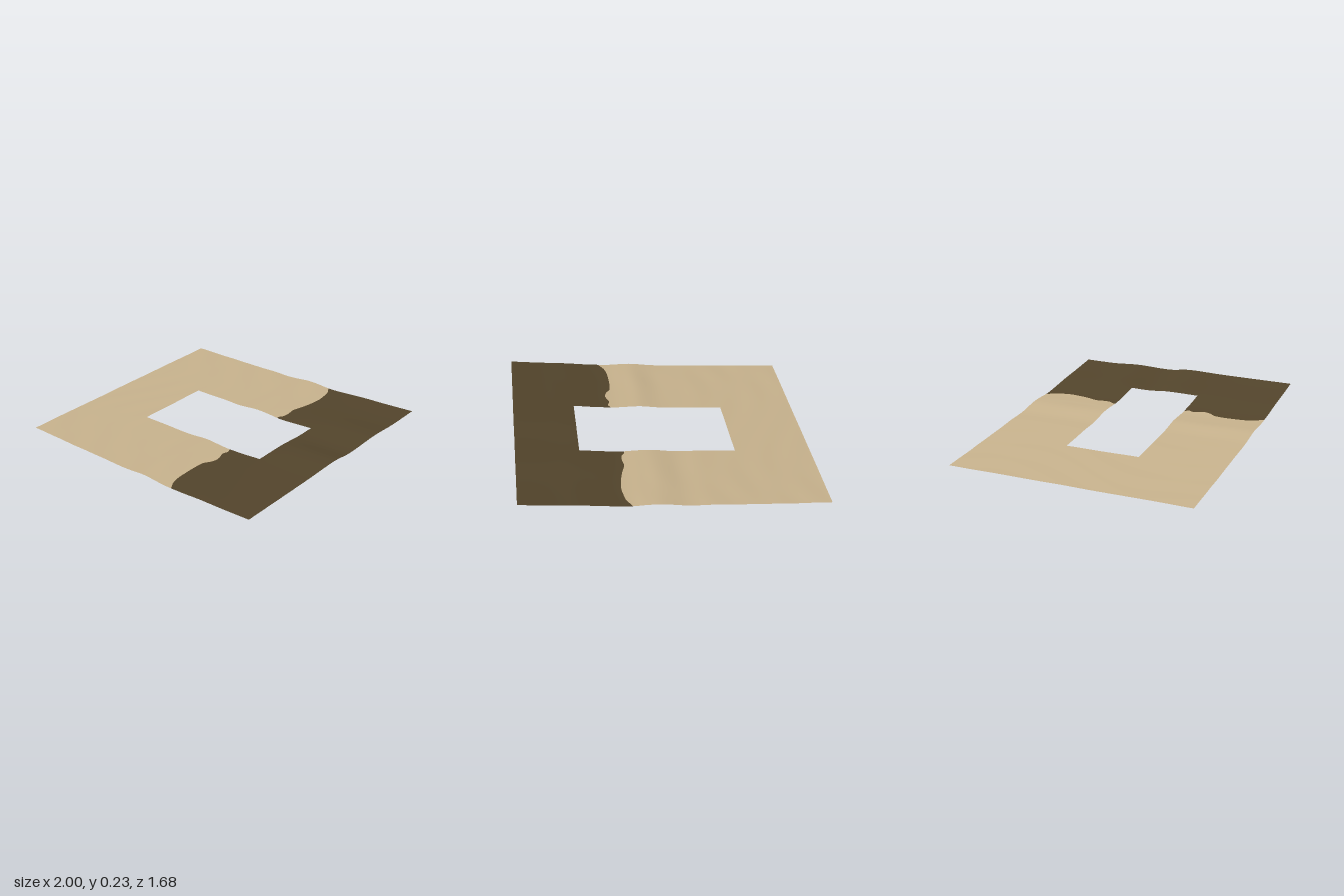
import * as THREE from 'three';

// Smooth curve y(t) through [t, y] points
function curve(points) {
  const slope = (i) => {
    const a = points[Math.max(i - 1, 0)], b = points[Math.min(i + 1, points.length - 1)];
    return (b[1] - a[1]) / (b[0] - a[0]);
  };
  return (t) => {
    let i = 0;
    while (i < points.length - 2 && t > points[i + 1][0]) i++;
    const [t0, y0] = points[i], [t1, y1] = points[i + 1];
    const h = t1 - t0, u = THREE.MathUtils.clamp((t - t0) / h, 0, 1);
    const u2 = u * u, u3 = u2 * u;
    return y0 * (2 * u3 - 3 * u2 + 1) + y1 * (3 * u2 - 2 * u3)
      + h * (slope(i) * (u3 - 2 * u2 + u) + slope(i + 1) * (u3 - u2));
  };
}

// Rise of the ground from the low shore to the high bank
const rise = curve([[-1, 0.003], [-0.6, 0.037], [-0.2, 0.075], [-0.05, 0.088], [0.1, 0.115],
  [0.2, 0.12], [0.3, 0.123], [0.4, 0.134], [0.6, 0.165], [0.8, 0.19], [1, 0.217]]);

// Uneven crest of the bank along z
const crest = curve([[-0.84, -0.003], [-0.6, -0.006], [-0.4, 0.003], [-0.13, -0.006],
  [0.03, 0.01], [0.3, 0.003], [0.84, -0.004]]);

// Ragged border between sand and soil
const border = curve([[-0.84, 0.29], [-0.82, 0.3], [-0.78, 0.325], [-0.72, 0.338], [-0.66, 0.345],
  [-0.58, 0.338], [-0.5, 0.322], [-0.42, 0.3], [-0.36, 0.308], [-0.31, 0.303], [-0.29, 0.287],
  [-0.265, 0.285], [0.26, 0.32], [0.29, 0.335], [0.33, 0.323], [0.4, 0.345], [0.45, 0.333],
  [0.5, 0.302], [0.7, 0.302], [0.78, 0.32], [0.82, 0.345], [0.84, 0.357]]);

function height(x, z) {
  const bank = THREE.MathUtils.smoothstep(x, 0.1, 0.9);
  const ripple = 0.0011 * Math.sin(23 * x + 3 * Math.sin(4 * z)) * Math.sin(5 * z + 6 * x + 1);
  return rise(x) + bank * crest(z) + ripple * (1 - bank);
}

const HOLE = { left: -0.475, right: 0.58, back: -0.265, front: 0.26 };
const EDGE = 0.84;

// Sheet of ground between two x limits, each a function of z
function sheet(name, material, from, to, z0, z1) {
  const cols = Math.max(6, Math.ceil((to(z0) - from(z0)) / 0.025));
  const rows = Math.ceil((z1 - z0) / 0.0125);
  const position = [], normal = [], index = [];
  const n = new THREE.Vector3(), e = 0.008;
  for (let r = 0; r <= rows; r++) {
    const z = THREE.MathUtils.lerp(z0, z1, r / rows);
    for (let c = 0; c <= cols; c++) {
      const x = THREE.MathUtils.lerp(from(z), to(z), c / cols);
      position.push(x, height(x, z), z);
      n.set(height(x - e, z) - height(x + e, z), 2 * e, height(x, z - e) - height(x, z + e)).normalize();
      normal.push(n.x, n.y, n.z);
      if (r < rows && c < cols) {
        const a = r * (cols + 1) + c, b = a + cols + 1;
        index.push(a, b, a + 1, b, b + 1, a + 1);
      }
    }
  }
  const geometry = new THREE.BufferGeometry();
  geometry.setAttribute('position', new THREE.Float32BufferAttribute(position, 3));
  geometry.setAttribute('normal', new THREE.Float32BufferAttribute(normal, 3));
  geometry.setIndex(index);
  const mesh = new THREE.Mesh(geometry, material);
  mesh.name = name;
  return mesh;
}

export function createModel() {
  const sand = new THREE.MeshStandardMaterial({ color: 0xc6b18c, side: THREE.DoubleSide });
  sand.name = 'sand';
  const soil = new THREE.MeshStandardMaterial({ color: 0x52442b, side: THREE.DoubleSide });
  soil.name = 'dark soil';

  const at = (x) => () => x;
  const model = new THREE.Group();
  model.name = 'shoreGround';

  // Full-depth strips at either end of the opening
  model.add(
    sheet('sandShore', sand, at(-1), at(HOLE.left), -EDGE, EDGE),
    sheet('soilBank', soil, at(HOLE.right), at(1), -EDGE, EDGE),
  );

  // Strips behind and in front of the opening, split along the border
  for (const [side, z0, z1] of [['Back', -EDGE, HOLE.back], ['Front', HOLE.front, EDGE]]) {
    model.add(
      sheet('sand' + side, sand, at(HOLE.left), border, z0, z1),
      sheet('soil' + side, soil, border, at(HOLE.right), z0, z1),
    );
  }
  return model;
}
